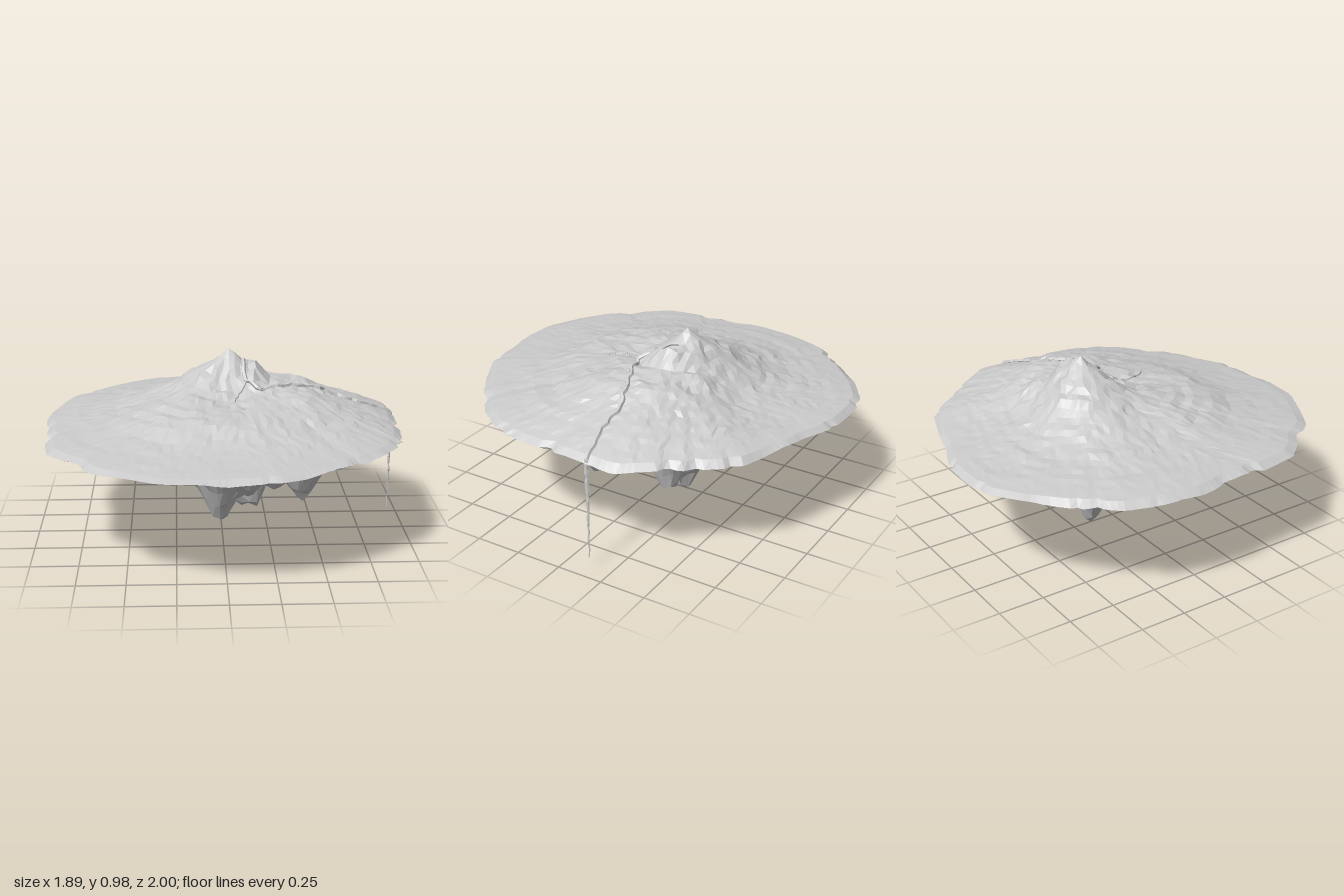
import * as THREE from 'three';

const N = 48, EDGE = 4 * N;

// Shoreline, counter-clockwise seen from above (x, z)
const SHORE = [
  [0.945, -0.15], [0.945, -0.31], [0.77, -0.54], [0.58, -0.77], [0.3, -0.88], [0.16, -0.915], [-0.02, -0.99],
  [-0.25, -1], [-0.37, -0.98], [-0.54, -0.87], [-0.75, -0.67], [-0.87, -0.52], [-0.93, -0.3], [-0.95, -0.1],
  [-0.92, 0.1], [-0.92, 0.3], [-0.89, 0.5], [-0.64, 0.81], [-0.5, 0.89], [-0.32, 0.98], [-0.06, 1],
  [0.25, 0.96], [0.4, 0.88], [0.58, 0.76], [0.77, 0.6], [0.91, 0.4], [0.935, 0.15],
];

// Height profiles [fraction from centre to shore, y] toward +x, -x, +z, -z
const TOP = {
  centre: [0.04, -0.17],
  px: [[0, 0.98], [0.05, 0.96], [0.1, 0.91], [0.17, 0.92], [0.21, 0.87], [0.25, 0.83], [0.41, 0.81], [0.52, 0.78], [0.63, 0.74], [0.85, 0.67], [0.97, 0.63], [1, 0.605]],
  nx: [[0, 0.98], [0.05, 0.93], [0.11, 0.89], [0.2, 0.86], [0.29, 0.8], [0.44, 0.73], [0.65, 0.67], [0.9, 0.635], [0.97, 0.625], [1, 0.6]],
  pz: [[0, 0.98], [0.06, 0.915], [0.145, 0.82], [0.21, 0.78], [0.27, 0.765], [0.34, 0.76], [0.49, 0.745], [0.57, 0.72], [0.66, 0.675], [0.83, 0.637], [0.97, 0.615], [1, 0.6]],
  nz: [[0, 0.98], [0.08, 0.93], [0.17, 0.86], [0.29, 0.79], [0.4, 0.72], [0.52, 0.675], [0.76, 0.64], [0.97, 0.62], [1, 0.6]],
};
const UNDER = {
  centre: [0, -0.14],
  px: [[0, 0.002], [0.04, 0.03], [0.09, 0.13], [0.2, 0.26], [0.32, 0.34], [0.53, 0.43], [0.64, 0.47], [0.85, 0.54], [1, 0.6]],
  nx: [[0, 0.002], [0.05, 0.06], [0.13, 0.2], [0.21, 0.3], [0.32, 0.37], [0.48, 0.45], [0.64, 0.51], [0.9, 0.57], [1, 0.6]],
  pz: [[0, 0.002], [0.04, 0.03], [0.07, 0.14], [0.12, 0.24], [0.21, 0.29], [0.35, 0.35], [0.48, 0.43], [0.65, 0.5], [0.83, 0.55], [1, 0.6]],
  nz: [[0, 0.002], [0.05, 0.03], [0.09, 0.13], [0.19, 0.27], [0.3, 0.38], [0.42, 0.46], [0.65, 0.53], [1, 0.6]],
};
// Hanging spikes and the lumps that join them: x, z, tip y, blunt radius, slope
const SPIKES = [
  [-0.03, 0.225, 0.115, 0, 2], [0.42, 0.155, 0.18, 0, 1.8], [0.16, -0.13, 0.11, 0.05, 2.6],
  [0.26, 0.15, 0.3, 0.05, 1.3], [0.13, 0.18, 0.25, 0.03, 1.5], [-0.12, 0.14, 0.31, 0.04, 1.1], [0.3, -0.02, 0.33, 0.04, 1.1],
];

function hash(i, j) {
  const s = Math.sin(i * 127.1 + j * 311.7) * 43758.5453;
  return s - Math.floor(s);
}

// Smooth noise from -0.5 to 0.5
function noise(x, z) {
  const i = Math.floor(x), j = Math.floor(z), { lerp } = THREE.MathUtils;
  return lerp(lerp(hash(i, j), hash(i + 1, j), x - i), lerp(hash(i, j + 1), hash(i + 1, j + 1), x - i), z - j) - 0.5;
}

function lookUp(profile, t) {
  let k = 1;
  while (k < profile.length - 1 && profile[k][0] < t) k++;
  const [t0, y0] = profile[k - 1], [t1, y1] = profile[k];
  return y0 + (y1 - y0) * THREE.MathUtils.clamp((t - t0) / (t1 - t0), 0, 1);
}

// Blend the four profiles by compass direction
function profileHeight(side, dx, dz, t) {
  const angle = Math.atan2(dz, dx), c = Math.cos(angle), s = Math.sin(angle);
  return c * c * lookUp(c > 0 ? side.px : side.nx, t) + s * s * lookUp(s > 0 ? side.pz : side.nz, t);
}

// Shoreline with small broken notches, shared by both halves
function shorePoints() {
  const curve = new THREE.CatmullRomCurve3(SHORE.map(([x, z]) => new THREE.Vector3(x, 0, z)), true, 'catmullrom', 0.1);
  return curve.getSpacedPoints(EDGE).slice(0, EDGE).map((p, i) => {
    const notch = hash(i >> 1, 99) > 0.85 ? 0.03 * hash(i, 12) : 0.004 * hash(i, 13);
    return p.multiplyScalar(1 - notch).setY(0.6 + 0.02 * noise(i / 4, 5));
  });
}

// Position round the shore (0 to 1) for a point of the square grid
function turn(u, v) {
  if (u === 0 && v === 0) return 0;
  if (Math.abs(u) >= Math.abs(v)) return (u > 0 ? 1 : 0.5) - v / u / 8;
  return (v < 0 ? 0.25 : 0.75) + u / v / 8;
}

// One half of the island: a square grid wrapped onto the shoreline
function rockHalf(side, shore, up) {
  const [cx, cz] = side.centre, pos = [], index = [];
  for (let j = 0; j <= N; j++) {
    for (let i = 0; i <= N; i++) {
      const u = (2 * i) / N - 1, v = (2 * j) / N - 1;
      const t = Math.max(Math.abs(u), Math.abs(v));
      const f = turn(u, v) * EDGE, k = Math.floor(f + 1e-6);
      const rim = shore[k % EDGE].clone().lerp(shore[(k + 1) % EDGE], Math.max(0, f - k));
      if (t === 1) { pos.push(rim.x, rim.y, rim.z); continue; }
      const shift = t > 0 && t < 0.95 ? 0.016 : 0;
      const dx = (rim.x - cx) * t + shift * (hash(i, j + 60) - 0.5);
      const dz = (rim.z - cz) * t + shift * (hash(i, j + 160) - 0.5);
      const x = cx + dx, z = cz + dz;
      let y = profileHeight(side, dx, dz, t);
      if (!up) for (const [sx, sz, tip, blunt, slope] of SPIKES) {
        y = Math.min(y, tip + slope * Math.max(0, Math.hypot(x - sx, z - sz) - blunt));
      }
      // Worn ledges and rough stone, fading toward the shore
      const fade = Math.min(1, t * 8) * (1 - t);
      const ledge = Math.sin(t * 50 + 9 * noise(x * 5, z * 5));
      y += fade * ((up ? 0.007 : 0.011) * ledge + (up ? 0.035 : 0.045) * noise(x * 13, z * 13) + 0.014 * (hash(i, j) - 0.5));
      pos.push(x, y, z);
    }
  }
  for (let j = 0; j < N; j++) {
    for (let i = 0; i < N; i++) {
      const a = j * (N + 1) + i, b = a + 1, d = a + N + 1, c = d + 1;
      // Diagonals run outward so the four corners fold cleanly into the shore
      const tris = (i < N / 2) === (j < N / 2) ? [a, d, c, a, c, b] : [a, d, b, b, d, c];
      index.push(...(up ? tris : tris.reverse()));
    }
  }
  const geo = new THREE.BufferGeometry();
  geo.setAttribute('position', new THREE.Float32BufferAttribute(pos, 3));
  geo.setIndex(index);
  geo.computeVertexNormals();
  return geo;
}

export function createModel() {
  const group = new THREE.Group();
  const rock = new THREE.MeshStandardMaterial({ color: 0xcccccc, flatShading: true });
  const add = (geo, name) => {
    const mesh = new THREE.Mesh(geo, rock);
    mesh.name = name;
    group.add(mesh);
    return mesh;
  };

  const shore = shorePoints();
  const land = add(rockHalf(TOP, shore, true), 'mountainTop');
  add(rockHalf(UNDER, shore, false), 'rockUnderside');

  // Streams laid on the ground, wandering a little
  const ray = new THREE.Raycaster();
  const down = new THREE.Vector3(0, -1, 0);
  const groundY = (x, z) => {
    ray.set(new THREE.Vector3(x, 2, z), down);
    const hit = ray.intersectObject(land)[0];
    return hit ? hit.point.y : 0.61;
  };
  const stream = (points, radius, steps, name) => {
    const flat = new THREE.CatmullRomCurve3(points.map(([x, z]) => new THREE.Vector3(x, 0, z)));
    const path = flat.getSpacedPoints(steps).map((p, i) => {
      const z = p.z + 0.02 * (hash(i, 21) - 0.5);
      return new THREE.Vector3(p.x, groundY(p.x, z) + 0.004, z);
    });
    add(new THREE.TubeGeometry(new THREE.CatmullRomCurve3(path), steps * 2, radius, 5), name);
  };
  stream([[0.12, -0.16], [0.13, -0.03], [0.2, 0.03], [0.35, -0.02], [0.5, -0.08], [0.6, -0.11], [0.75, -0.11], [0.93, -0.14]], 0.012, 36, 'mainStream');
  stream([[0.13, -0.02], [0.07, 0.1], [0.06, 0.17], [0.12, 0.27]], 0.006, 14, 'sideStream');

  // Waterfall: a thin wavering column that narrows as it drops
  const fall = new THREE.CylinderGeometry(0.014, 0.003, 0.55, 6, 22);
  const p = fall.attributes.position;
  for (let i = 0; i < p.count; i++) {
    const y = p.getY(i), row = Math.round(y * 40), k = 0.75 + 0.5 * hash(row, 7);
    p.setXYZ(i, p.getX(i) * k * 0.7 + 0.004 * (hash(row, 3) - 0.5), y, p.getZ(i) * k + 0.006 * (hash(row, 4) - 0.5));
  }
  fall.translate(0.932, 0.345, -0.14);
  add(fall, 'waterfall');

  return group;
}
